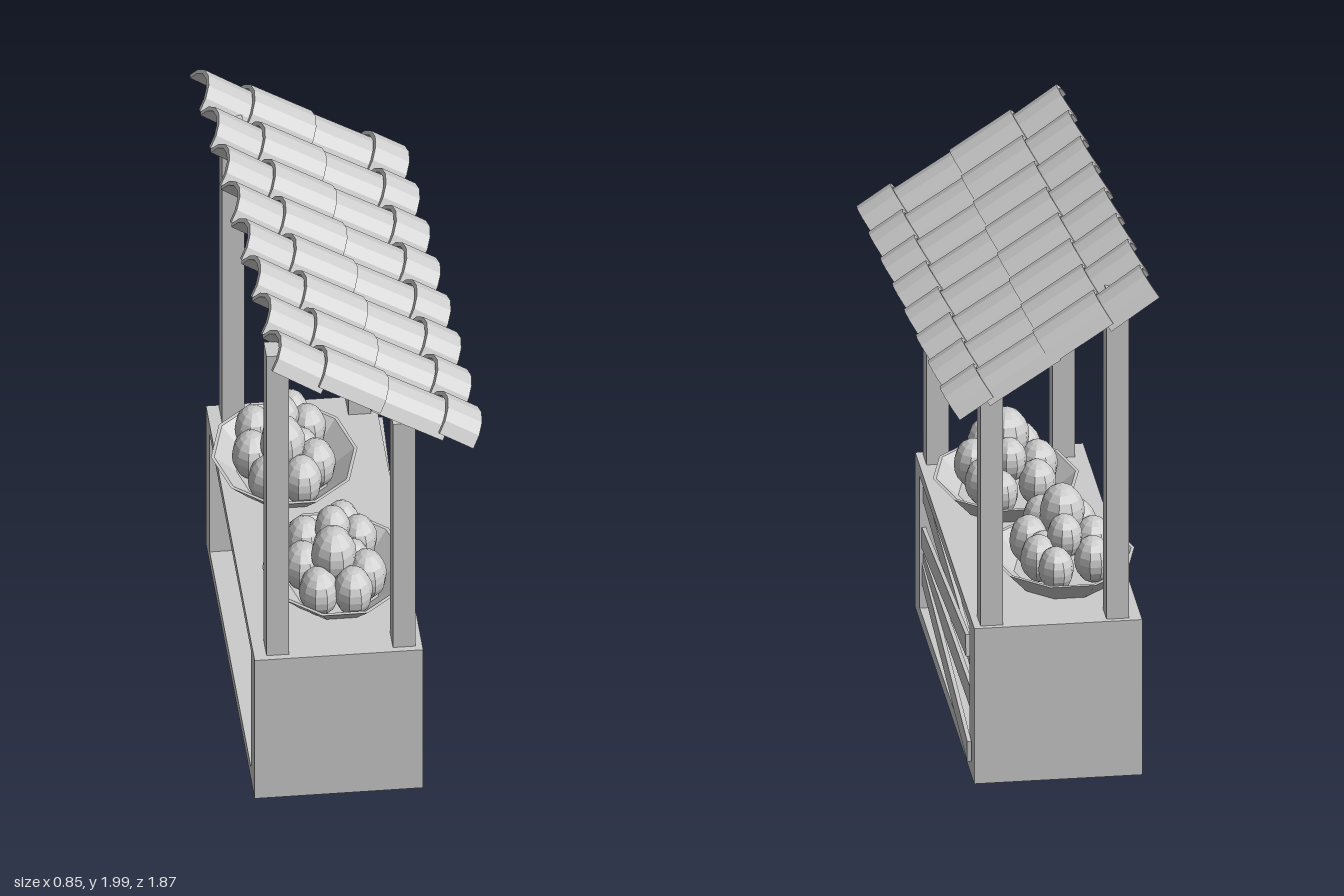
import * as THREE from 'three';

const mat = new THREE.MeshStandardMaterial({ color: 0xcccccc, flatShading: true, side: THREE.DoubleSide });

function add(parent, name, geometry, x = 0, y = 0, z = 0) {
  const mesh = new THREE.Mesh(geometry, mat);
  mesh.name = name;
  mesh.position.set(x, y, z);
  parent.add(mesh);
  return mesh;
}

function group(parent, name, x = 0, y = 0, z = 0) {
  const g = new THREE.Group();
  g.name = name;
  g.position.set(x, y, z);
  parent.add(g);
  return g;
}

function lathe(points, sides) {
  return new THREE.LatheGeometry(points.map(p => new THREE.Vector2(...p)), sides, Math.PI / 2);
}

function rect(path, x0, y0, x1, y1) {
  path.moveTo(x0, y0);
  path.lineTo(x1, y0);
  path.lineTo(x1, y1);
  path.lineTo(x0, y1);
  path.closePath();
  return path;
}

// Curved roof tile: an arched shell running along +x, crown at y = 0
function tileGeometry(length, scale) {
  const R = 0.119 * scale, t = 0.016, half = 1.3, n = 6;
  const shape = new THREE.Shape();
  for (let i = 0; i <= n; i++) {
    const a = -half + (2 * half * i) / n;
    const x = R * Math.sin(a), y = R * Math.cos(a) - R;
    if (i) shape.lineTo(x, y); else shape.moveTo(x, y);
  }
  for (let i = n; i >= 0; i--) {
    const a = -half + (2 * half * i) / n;
    shape.lineTo((R - t) * Math.sin(a), (R - t) * Math.cos(a) - R);
  }
  shape.closePath();
  return new THREE.ExtrudeGeometry(shape, { depth: length, bevelEnabled: false }).rotateY(Math.PI / 2);
}

export function createModel() {
  const model = new THREE.Group();
  model.name = 'marketStall';

  // Counter: a box open through both long sides
  const frame = rect(new THREE.Shape(), -0.84, 0, 0.72, 0.6);
  frame.holes.push(rect(new THREE.Path(), -0.72, 0.05, 0.6, 0.56));
  add(model, 'counter',
    new THREE.ExtrudeGeometry(frame, { depth: 0.6, bevelEnabled: false }).rotateY(Math.PI / 2), -0.39);

  // Crooked slats: start and end as [x, y, z]
  const slats = [
    [[0.19, 0.5, 0.73], [0.19, 0.395, -0.61]],
    [[0.195, 0.32, 0.73], [0.225, 0.51, -0.66]],
    [[0.19, 0.22, 0.73], [0.19, 0.245, -0.61]],
    [[0.195, 0.185, 0.73], [0.22, 0.1, -0.66]],
  ];
  for (const [a, b] of slats) {
    const from = new THREE.Vector3(...a), to = new THREE.Vector3(...b);
    const slat = add(model, 'slat', new THREE.BoxGeometry(0.015, 0.08, from.distanceTo(to)));
    slat.position.copy(from).lerp(to, 0.5);
    slat.lookAt(to);
  }

  // Posts: [x, z, top]
  for (const [x, z, top] of [[-0.305, 0.77, 1.9], [-0.305, -0.655, 1.87], [0.145, 0.77, 1.57], [0.145, -0.655, 1.56]])
    add(model, 'post', new THREE.BoxGeometry(0.08, top - 0.59, 0.09), x, (top + 0.59) / 2, z);

  // Buckets inside the counter
  const bucket = lathe([[0, 0], [0.155, 0], [0.185, 0.34], [0.197, 0.34], [0.2, 0.38], [0.185, 0.38], [0.145, 0.02], [0, 0.02]], 14);
  for (const z of [0.055, -0.385])
    add(model, 'bucket', bucket, -0.15, 0.05, z).scale.x = 0.75;

  // Fruit bowls with heaped fruit: [x, y, z, radius] from the bowl centre
  const bowl = lathe([[0, 0], [0.225, 0], [0.33, 0.088], [0.315, 0.088], [0.215, 0.02], [0, 0.02]], 10);
  const fruit = [
    [-0.02, 0.2, 0.095, 0.102], [0, 0.185, -0.085, 0.08],
    [0.05, 0.12, 0.215, 0.09], [0.13, 0.1, 0.09, 0.09], [0.12, 0.115, -0.11, 0.085],
    [0.06, 0.115, -0.21, 0.08], [-0.1, 0.11, 0.19, 0.09], [-0.15, 0.11, 0.03, 0.09],
    [-0.12, 0.11, -0.13, 0.085], [0.08, 0.09, -0.01, 0.08],
  ];
  for (const [x, z] of [[-0.055, 0.405], [-0.16, -0.285]]) {
    const dish = group(model, 'fruitBowl', x, 0.6, z);
    dish.scale.x = 0.79;
    add(dish, 'bowl', bowl);
    for (const [fx, fy, fz, r] of fruit)
      add(dish, 'fruit', new THREE.SphereGeometry(r, 10, 10), fx, fy, fz);
  }

  // Sloping roof, slightly askew: eight columns of four overlapping tiles
  const slope = group(model, 'roof', 0.02, 1.785, 0);
  slope.rotation.z = -Math.PI / 6;
  const tiles = group(slope, 'tiles');
  tiles.rotation.set(-0.025, 0.043, 0);
  // Each row: start, end, crown height at start and end, width scale
  const rows = [
    [-0.41, -0.2, 0, -0.015, 0.98],
    [-0.225, 0.035, 0.01, 0, 1],
    [0.0, 0.3, -0.007, -0.015, 0.98],
    [0.275, 0.42, 0.01, 0.002, 1],
  ];
  for (const [u0, u1, h0, h1, s] of rows) {
    const geometry = tileGeometry(u1 - u0, s);
    for (let i = 0; i < 8; i++) {
      const tile = add(tiles, 'roofTile', geometry, u0, h0, (i - 3.5) * 0.2295);
      tile.rotation.z = Math.atan2(h1 - h0, u1 - u0);
    }
  }

  return model;
}
